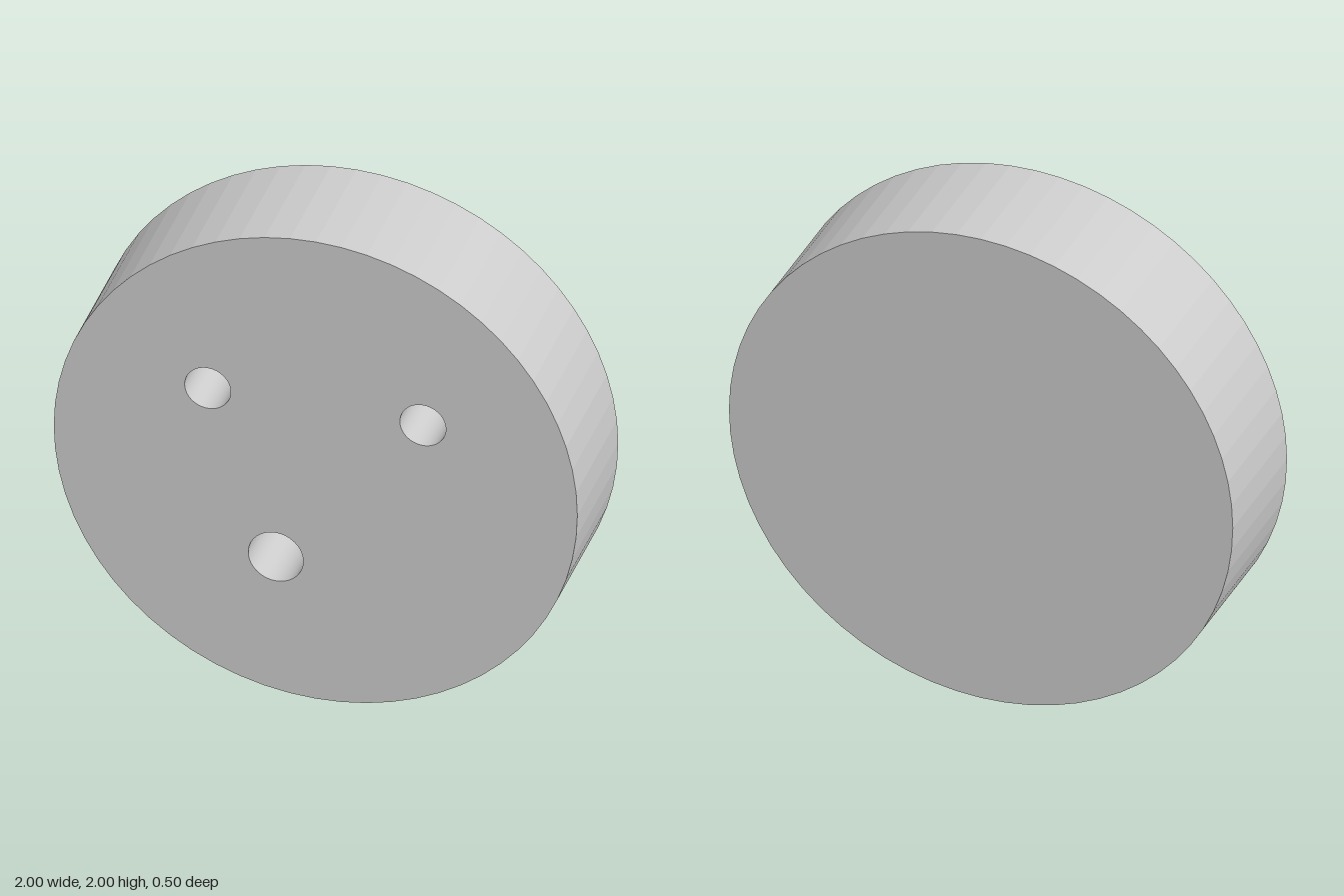
import * as THREE from 'three';

const SEGMENTS = 64;
const RADIUS = 1;
const HALF = 0.25;        // half the disc thickness
const HOLE_DEPTH = 0.36;  // blind holes, open at the front only
const HOLES = [
  { name: 'upperRightHole', x: -0.412, y: 0.278, r: 0.088 },
  { name: 'upperLeftHole', x: 0.41, y: 0.278, r: 0.088 },
  { name: 'lowerHole', x: -0.152, y: -0.409, r: 0.105 },
];

// Points of a regular polygon standing in for a circle
function circlePoints(x, y, r) {
  return Array.from({ length: SEGMENTS }, (_, i) => {
    const a = (i / SEGMENTS) * Math.PI * 2;
    return new THREE.Vector2(x + r * Math.cos(a), y + r * Math.sin(a));
  });
}

// Open tube along z, from z0 to z1
function tubeAlongZ(r, z0, z1) {
  return new THREE.CylinderGeometry(r, r, z1 - z0, SEGMENTS, 1, true)
    .rotateX(Math.PI / 2)
    .translate(0, 0, (z0 + z1) / 2);
}

export function createModel() {
  const model = new THREE.Group();
  model.name = 'drilledDisc';
  const outer = new THREE.MeshStandardMaterial({ color: 0xcccccc, flatShading: true });
  const inner = new THREE.MeshStandardMaterial({ color: 0xcccccc, side: THREE.BackSide });

  const add = (parent, name, geometry, material) => {
    const mesh = new THREE.Mesh(geometry, material);
    mesh.name = name;
    parent.add(mesh);
    return mesh;
  };

  // Disc body, centred on its own axis and lifted onto the ground
  const disc = new THREE.Group();
  disc.name = 'disc';
  disc.position.y = RADIUS;
  model.add(disc);

  add(disc, 'rim', tubeAlongZ(RADIUS, -HALF, HALF), outer);
  add(disc, 'backFace', new THREE.CircleGeometry(RADIUS, SEGMENTS).rotateY(Math.PI).translate(0, 0, -HALF), outer);

  // Front face pierced by the three holes
  const face = new THREE.Shape(circlePoints(0, 0, RADIUS));
  for (const h of HOLES) face.holes.push(new THREE.Path(circlePoints(h.x, h.y, h.r)));
  add(disc, 'frontFace', new THREE.ShapeGeometry(face).translate(0, 0, HALF), outer);

  // Hole walls and floors
  for (const h of HOLES) {
    const hole = new THREE.Group();
    hole.name = h.name;
    hole.position.set(h.x, h.y, 0);
    disc.add(hole);
    add(hole, 'holeWall', tubeAlongZ(h.r, HALF - HOLE_DEPTH, HALF), inner);
    add(hole, 'holeFloor', new THREE.CircleGeometry(h.r, SEGMENTS).translate(0, 0, HALF - HOLE_DEPTH), outer);
  }

  return model;
}
